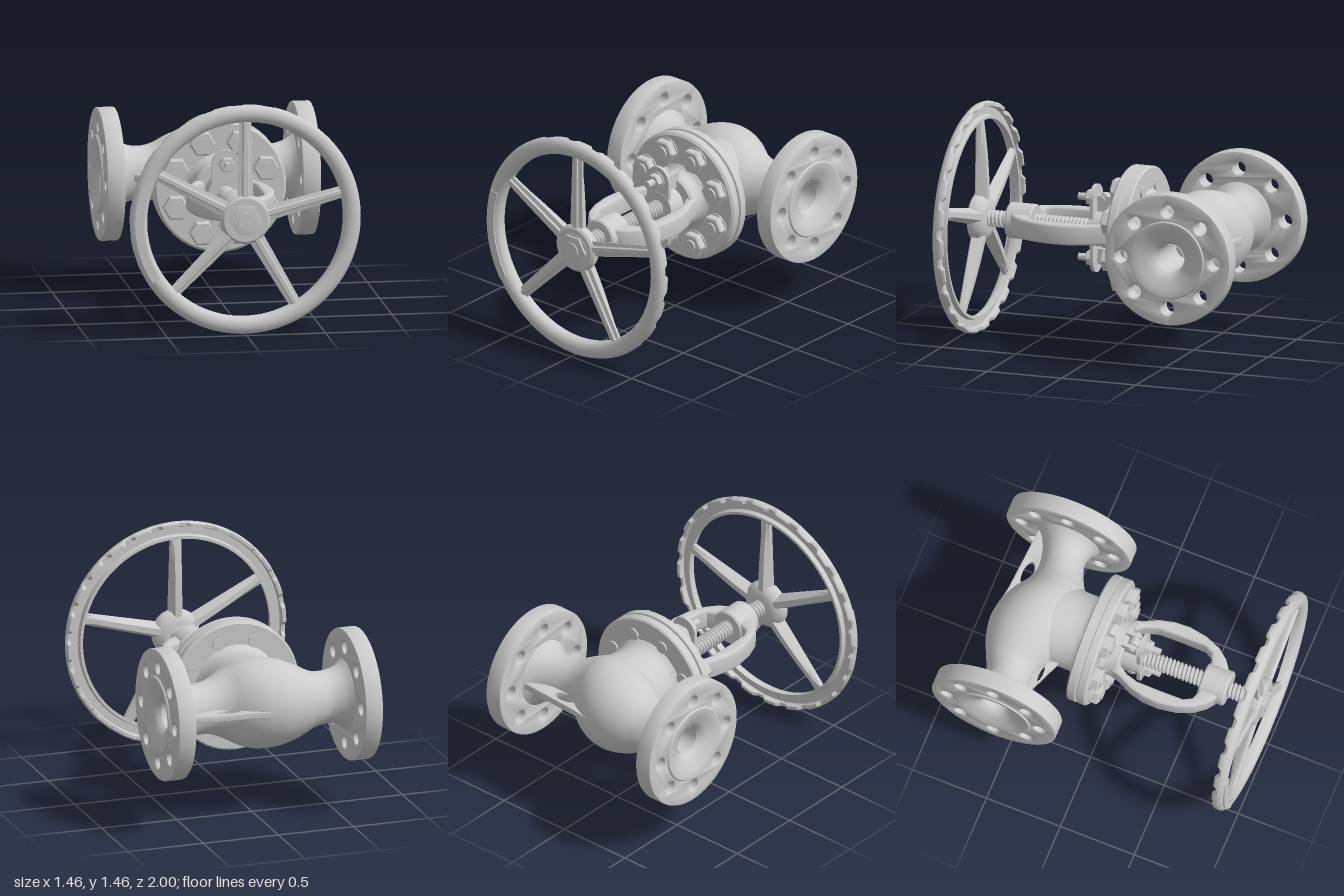
import * as THREE from 'three';
import { toCreasedNormals } from 'three/addons/utils/BufferGeometryUtils.js';

const CY = 0.733;   // height of the stem and pipe axes
const PZ = -0.575;  // depth of the pipe axis
const material = new THREE.MeshStandardMaterial({ color: 0xcccccc, side: THREE.DoubleSide });

const vec2 = (list) => list.map(([a, b]) => new THREE.Vector2(a, b));

function add(parent, name, geometry, x = 0, y = 0, z = 0) {
  const mesh = new THREE.Mesh(geometry, material);
  mesh.name = name;
  mesh.position.set(x, y, z);
  parent.add(mesh);
  return mesh;
}

// Profile of [radius, z] turned about the z axis
function turned(profile, segments = 64) {
  const g = new THREE.LatheGeometry(vec2(profile), segments).rotateX(Math.PI / 2);
  return toCreasedNormals(g, 0.6);
}

// Solid round or hexagonal bar along z
function bar(r, z0, z1, sides = 32) {
  const g = new THREE.CylinderGeometry(r, r, z1 - z0, sides);
  if (sides === 6) g.rotateY(Math.PI / 6);
  g.rotateX(Math.PI / 2).translate(0, 0, (z0 + z1) / 2);
  return toCreasedNormals(g, 0.6);
}

// Hexagonal nut with a chamfered outer face
function nut(r, z0, z1) {
  const h = z1 - z0;
  const p = [[0, z0], [r, z0], [r, z1 - h * 0.15], [r * 0.88, z1], [0, z1]];
  const g = new THREE.LatheGeometry(vec2(p), 6).rotateY(Math.PI / 6).rotateX(Math.PI / 2);
  return toCreasedNormals(g, 0.3);
}

// Plate drawn in the x-z plane with a given thickness in y
function plateXZ(shape, thickness, bevel) {
  const g = new THREE.ExtrudeGeometry(shape, {
    depth: thickness - 2 * bevel, bevelThickness: bevel, bevelSize: bevel,
    bevelOffset: -bevel, bevelSegments: 3, curveSegments: 24,
  });
  g.translate(0, 0, -thickness / 2 + bevel).rotateX(Math.PI / 2);
  return toCreasedNormals(g, 0.7);
}

// Skin over a list of equally long loops of points
function loft(loops, capped = false) {
  const n = loops[0].length, pos = loops.flat(2), idx = [];
  for (let i = 0; i < loops.length - 1; i++) {
    for (let j = 0; j < n; j++) {
      const a = i * n + j, b = i * n + (j + 1) % n;
      idx.push(a, b, a + n, b, b + n, a + n);
    }
  }
  if (capped) {
    const last = (loops.length - 1) * n;
    for (let j = 1; j < n - 1; j++) idx.push(0, j + 1, j, last, last + j, last + j + 1);
  }
  const g = new THREE.BufferGeometry();
  g.setAttribute('position', new THREE.Float32BufferAttribute(pos, 3));
  g.setIndex(idx);
  g.computeVertexNormals();
  return g;
}

function buildBody() {
  const body = new THREE.Group();
  body.name = 'valveBody';
  // S-shaped passage: x, back z, front z, half height
  const stations = [
    [-0.6, -0.81, -0.34, 0.24], [-0.54, -0.75, -0.4, 0.19], [-0.46, -0.725, -0.43, 0.17],
    [-0.36, -0.765, -0.43, 0.18], [-0.25, -0.81, -0.37, 0.235], [-0.12, -0.833, -0.3, 0.28],
    [0, -0.815, -0.28, 0.29], [0.1, -0.77, -0.29, 0.27], [0.2, -0.705, -0.31, 0.22],
    [0.3, -0.68, -0.37, 0.175], [0.42, -0.7, -0.415, 0.165], [0.5, -0.74, -0.4, 0.19],
    [0.56, -0.81, -0.34, 0.24]];
  const centre = new THREE.CatmullRomCurve3(stations.map(([x, b, f]) => new THREE.Vector3(x, b, f)));
  const height = new THREE.CatmullRomCurve3(stations.map(([x, , , h]) => new THREE.Vector3(x, h, 0)));
  const loops = [];
  for (let i = 0; i <= 60; i++) {
    const s = centre.getPoint(i / 60), h = height.getPoint(i / 60).y, loop = [];
    for (let j = 0; j < 48; j++) {
      const a = j / 48 * Math.PI * 2;
      loop.push([s.x, h * Math.cos(a), (s.y + s.z) / 2 + (s.z - s.y) / 2 * Math.sin(a)]);
    }
    loops.push(loop);
  }
  add(body, 'passage', loft(loops), 0, CY);
  add(body, 'bonnetNeck', turned([[0.2, -0.64], [0.262, -0.56], [0.272, -0.48], [0.262, -0.4],
    [0.25, -0.32], [0.25, -0.25], [0.258, -0.22], [0.28, -0.195]]), 0, CY);
  add(body, 'bore', new THREE.CylinderGeometry(0.09, 0.09, 1.24, 40, 1, true).rotateZ(Math.PI / 2), -0.025, CY, PZ);

  // Webs in the two hollows of the passage, each with an opening
  const webs = [
    [[[-0.05, -0.825], [0.1, -0.8], [0.35, -0.782], [0.55, -0.77], [0.5, -0.68], [0, -0.68]], 0.235, -0.725, 0.08, 0.035],
    [[[-0.5, -0.425], [-0.42, -0.39], [-0.25, -0.32], [-0.2, -0.5], [-0.46, -0.5]], -0.35, -0.395, 0.07, 0.02]];
  for (const [outline, hx, hz, rx, rz] of webs) {
    const shape = new THREE.Shape(vec2(outline));
    shape.holes.push(new THREE.Path().absellipse(hx, hz, rx, rz, 0, Math.PI * 2, true));
    add(body, 'web', plateXZ(shape, 0.045, 0.006), 0, CY);
  }

  // Pipe flanges with eight bolt holes and a raised, dished face
  for (const [side, face] of [[-1, -0.7], [1, 0.655]]) {
    const disc = new THREE.Shape().absarc(0, 0, 0.42, 0, Math.PI * 2);
    disc.holes.push(new THREE.Path().absarc(0, 0, 0.2, 0, Math.PI * 2, true));
    for (let i = 0; i < 8; i++) {
      const a = i * Math.PI / 4;
      disc.holes.push(new THREE.Path().absarc(0.312 * Math.cos(a), 0.312 * Math.sin(a), 0.043, 0, Math.PI * 2, true));
    }
    const g = new THREE.ExtrudeGeometry(disc, {
      depth: 0.099, bevelThickness: 0.008, bevelSize: 0.008, bevelOffset: -0.008, bevelSegments: 2, curveSegments: 32 });
    g.translate(0, 0, -0.107).rotateY(side * Math.PI / 2);
    const flange = new THREE.Group();
    flange.name = side > 0 ? 'leftFlange' : 'rightFlange';
    flange.position.set(face, CY, PZ);
    add(flange, 'flangeDisc', toCreasedNormals(g, 0.6));
    add(flange, 'raisedFace', turned([[0.25, -0.01], [0.25, 0.003], [0.243, 0.011], [0.225, 0.011],
      [0.19, 0], [0.14, -0.02], [0.105, -0.04], [0.09, -0.07]]).rotateY(side * Math.PI / 2));
    body.add(flange);
  }
  return body;
}

function buildBonnet() {
  const bonnet = new THREE.Group();
  bonnet.name = 'bonnet';
  bonnet.position.y = CY;
  add(bonnet, 'bonnetFlanges', turned([[0.2, -0.2], [0.41, -0.2], [0.42, -0.19], [0.42, -0.145], [0.405, -0.14],
    [0.405, -0.13], [0.42, -0.125], [0.42, -0.08], [0.405, -0.066], [0.18, -0.066]]));
  for (let i = 0; i < 8; i++) {
    const a = (i + 0.5) * Math.PI / 4, x = 0.31 * Math.cos(a), y = 0.31 * Math.sin(a);
    add(bonnet, 'stud', bar(0.04, -0.212, 0.002, 24), x, y);
    add(bonnet, 'washer', bar(0.083, -0.07, -0.058), x, y);
    add(bonnet, 'nut', nut(0.082, -0.058, -0.01), x, y);
  }
  add(bonnet, 'stuffingBox', turned([[0.225, -0.07], [0.2, -0.055], [0.187, -0.03], [0.187, 0.035], [0.175, 0.05], [0, 0.05]]));

  // Yoke: a loop of two arms ending in the stem bush
  const half = [[0.18, 0], [0.2, 0.07], [0.245, 0.16], [0.27, 0.26], [0.275, 0.36], [0.255, 0.48], [0.215, 0.58], [0.16, 0.65], [0.09, 0.7]];
  const inner = [[0.125, 0.05], [0.165, 0.11], [0.188, 0.19], [0.19, 0.35], [0.188, 0.5], [0.16, 0.55], [0.08, 0.58]];
  const mirror = (list) => vec2([...list, ...list.map(([x, z]) => [-x, z]).reverse()]);
  const yoke = new THREE.Shape(mirror(half));
  yoke.holes.push(new THREE.Path(mirror(inner).reverse()));
  add(bonnet, 'yoke', plateXZ(yoke, 0.132, 0.018));
  add(bonnet, 'stemBush', turned([[0.05, 0.56], [0.105, 0.56], [0.114, 0.57], [0.114, 0.725], [0.105, 0.735], [0.05, 0.735]]));

  // Packing gland held by two eye bolts
  const plate = new THREE.Shape();
  plate.absarc(0, 0.195, 0.088, 0, Math.PI);
  plate.absarc(0, -0.195, 0.088, Math.PI, Math.PI * 2);
  add(bonnet, 'glandPlate', toCreasedNormals(new THREE.ExtrudeGeometry(plate, { depth: 0.024, bevelEnabled: false, curveSegments: 24 }), 0.6), 0, 0, 0.143);
  add(bonnet, 'gland', bar(0.114, 0.045, 0.17, 48));
  for (const s of [-1, 1]) {
    const y = s * 0.195;
    for (const x of [-0.042, 0.042]) add(bonnet, 'eyeBoltLug', new THREE.BoxGeometry(0.025, 0.1, 0.1), x, s * 0.17, 0.075);
    add(bonnet, 'pin', new THREE.CylinderGeometry(0.022, 0.022, 0.13, 20).rotateZ(Math.PI / 2), 0, y, 0.095);
    add(bonnet, 'eye', new THREE.CylinderGeometry(0.035, 0.035, 0.05, 24).rotateZ(Math.PI / 2), 0, y, 0.095);
    add(bonnet, 'eyeBolt', bar(0.023, 0.09, 0.272, 20), 0, y);
    add(bonnet, 'eyeBoltWasher', bar(0.055, 0.165, 0.174), 0, y);
    add(bonnet, 'eyeBoltNut', nut(0.05, 0.174, 0.215), 0, y);
  }
  return bonnet;
}

function buildHandwheel() {
  const wheel = new THREE.Group();
  wheel.name = 'handwheel';
  wheel.position.y = CY;
  // Hollow-backed rim with finger notches along its rear outer edge
  const rimProfile = [[0.622, 0.915], [0.64, 0.915], [0.647, 0.945], [0.695, 0.945], [0.702, 0.91], [0.722, 0.91],
    [0.731, 0.922], [0.732, 0.945], [0.724, 0.967], [0.705, 0.982], [0.677, 0.987], [0.65, 0.982], [0.63, 0.967], [0.622, 0.945], [0.622, 0.915]];
  const rim = new THREE.LatheGeometry(vec2(rimProfile), 192).rotateX(Math.PI / 2);
  const p = rim.attributes.position;
  for (let i = 0; i < p.count; i++) {
    const x = p.getX(i), y = p.getY(i);
    const notch = Math.sin(Math.atan2(y, x) * 24) > 0.2;
    if (notch && p.getZ(i) < 0.93 && Math.hypot(x, y) > 0.7) p.setZ(i, p.getZ(i) + 0.022);
  }
  add(wheel, 'rim', toCreasedNormals(rim, 0.6));

  // Raised plate on the rim
  const tag = new THREE.Shape();
  tag.absarc(0, 0, 0.706, 2.83, 3.71, false);
  tag.absarc(0, 0, 0.65, 3.71, 2.83, true);
  add(wheel, 'rimPlate', new THREE.ExtrudeGeometry(tag, { depth: 0.01, bevelEnabled: false, curveSegments: 32 }), 0, 0, 0.98);

  // Tapered spokes with a ridge on the front and a rounded back
  for (const deg of [90, 151.5, 225, 300, 14.5]) {
    const loops = [];
    for (let i = 0; i <= 8; i++) {
      const t = i / 8, r = 0.08 + 0.56 * t, w = 0.052 - 0.014 * t;
      const back = 0.878 + 0.04 * t * t, front = 0.968 - 0.008 * t;
      loops.push([[r, -w, front - 0.018], [r, -w * 0.45, front - 0.012], [r, -w * 0.3, front], [r, w * 0.3, front],
        [r, w * 0.45, front - 0.012], [r, w, front - 0.018], [r, w * 0.85, front - 0.04], [r, w * 0.4, back],
        [r, -w * 0.4, back], [r, -w * 0.85, front - 0.04]].reverse());
    }
    const g = loft(loops, true).rotateZ(deg * Math.PI / 180);
    add(wheel, 'spoke', toCreasedNormals(g, 0.4));
  }
  add(wheel, 'hub', turned([[0, 0.868], [0.085, 0.868], [0.125, 0.88], [0.15, 0.91], [0.157, 0.935], [0.154, 0.96], [0.138, 0.973], [0, 0.973]]));
  add(wheel, 'hubWasher', bar(0.108, 0.97, 0.977, 48));
  add(wheel, 'hubNut', nut(0.104, 0.975, 0.993));
  add(wheel, 'stemEnd', bar(0.05, 0.97, 1));
  return wheel;
}

function buildStem() {
  // Zigzag profile skewed by one pitch per turn to form a helical thread
  const pitch = 0.026, profile = [];
  for (let z = 0.12; z < 0.86; z += pitch) {
    profile.push([0.043, z], [0.055, z + pitch * 0.3], [0.055, z + pitch * 0.6], [0.043, z + pitch * 0.9]);
  }
  const g = new THREE.LatheGeometry(vec2(profile), 40).rotateX(Math.PI / 2);
  const p = g.attributes.position, perTurn = profile.length;
  for (let i = 0; i < p.count; i++) p.setZ(i, p.getZ(i) + pitch * Math.floor(i / perTurn) / 40);
  return toCreasedNormals(g, 0.6);
}

export function createModel() {
  const model = new THREE.Group();
  model.name = 'globeValve';
  model.add(buildBody(), buildBonnet(), buildHandwheel());
  add(model, 'threadedStem', buildStem(), 0, CY);
  return model;
}
